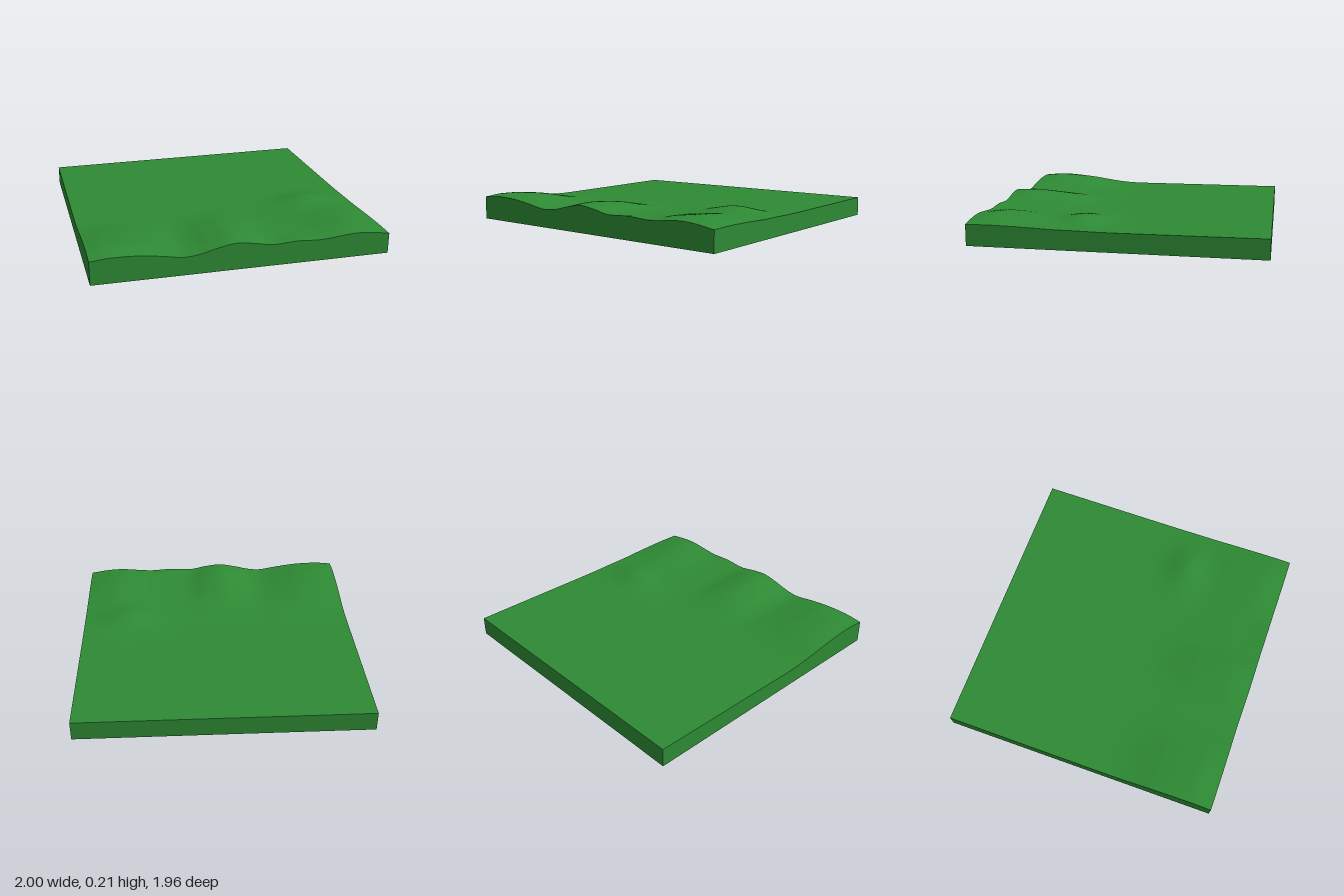
import * as THREE from 'three';
import { ParametricGeometry } from 'three/addons/geometries/ParametricGeometry.js';

const HX = 1, HZ = 0.98, FLAT = 0.135;

// Smooth curve through [position, value] pairs
function curve(points) {
  const slope = points.map((p, i) => {
    const a = points[Math.max(i - 1, 0)], b = points[Math.min(i + 1, points.length - 1)];
    return (b[1] - a[1]) / (b[0] - a[0]);
  });
  return (t) => {
    let i = 0;
    while (i < points.length - 2 && t > points[i + 1][0]) i++;
    const [t0, y0] = points[i], [t1, y1] = points[i + 1];
    const d = t1 - t0, s = THREE.MathUtils.clamp((t - t0) / d, 0, 1);
    const s2 = s * s, s3 = s2 * s;
    return y0 * (2 * s3 - 3 * s2 + 1) + y1 * (3 * s2 - 2 * s3)
      + d * (slope[i] * (s3 - 2 * s2 + s) + slope[i + 1] * (s3 - s2));
  };
}

// Height of the hills along their crest, and along the front edge
const crest = curve([[-1, 0.2], [-0.87, 0.215], [-0.7, 0.207], [-0.55, 0.177], [-0.4, 0.15],
  [-0.3, 0.16], [-0.2, 0.19], [-0.07, 0.214], [0.05, 0.2], [0.18, 0.165], [0.35, 0.16],
  [0.5, 0.167], [0.6, 0.183], [0.75, 0.198], [0.87, 0.185], [1, 0.157]]);
const frontEdge = curve([[-1, 0.19], [-0.87, 0.201], [-0.7, 0.195], [-0.55, 0.175], [-0.4, 0.15],
  [-0.3, 0.159], [-0.2, 0.183], [-0.07, 0.206], [0.05, 0.193], [0.18, 0.168], [0.35, 0.174],
  [0.5, 0.165], [0.6, 0.171], [0.75, 0.183], [0.87, 0.176], [1, 0.155]]);
// How the hills rise from the plain towards the front
const rise = curve([[-0.98, 0], [0.1, 0], [0.2, 0.01], [0.32, 0.12], [0.46, 0.4], [0.55, 0.62],
  [0.7, 0.86], [0.84, 1], [0.98, 1]]);

function topHeight(x, z) {
  const blend = THREE.MathUtils.smoothstep(z, 0.8, 1.02) / THREE.MathUtils.smoothstep(HZ, 0.8, 1.02);
  const hills = (THREE.MathUtils.lerp(crest(x), frontEdge(x), blend) - FLAT) * rise(z);
  const mound = 0.046 * Math.exp(-(((x - 0.68) / 0.2) ** 2) - ((z - 0.25) / 0.145) ** 2);
  return FLAT + hills + mound;
}

// Underside lifts slightly towards the front, more on one corner
function bottomHeight(x, z) {
  return (z + HZ) / (2 * HZ) * THREE.MathUtils.lerp(0.03, 0.012, (x + HX) / (2 * HX));
}

export function createModel() {
  const group = new THREE.Group();
  group.name = 'hillyGround';
  const material = new THREE.MeshStandardMaterial({ color: 0x2e8b34 });
  const add = (name, point, slices, stacks) => {
    const mesh = new THREE.Mesh(new ParametricGeometry(point, slices, stacks), material);
    mesh.name = name;
    group.add(mesh);
  };
  const along = (t, half) => (2 * t - 1) * half;

  // Grass surface and underside
  add('grassSurface', (u, v, p) => {
    const z = along(u, HZ), x = along(v, HX);
    p.set(x, topHeight(x, z), z);
  }, 96, 96);
  add('underside', (u, v, p) => {
    const x = along(u, HX), z = along(v, HZ);
    p.set(x, bottomHeight(x, z), z);
  }, 8, 8);

  // Four walls, each running anticlockwise seen from above
  const walls = {
    frontWall: (t) => [along(t, HX), HZ],
    leftWall: (t) => [HX, -along(t, HZ)],
    backWall: (t) => [-along(t, HX), -HZ],
    rightWall: (t) => [-HX, along(t, HZ)],
  };
  for (const [name, path] of Object.entries(walls)) {
    add(name, (u, v, p) => {
      const [x, z] = path(u);
      p.set(x, THREE.MathUtils.lerp(bottomHeight(x, z), topHeight(x, z), v), z);
    }, 96, 1);
  }
  return group;
}
